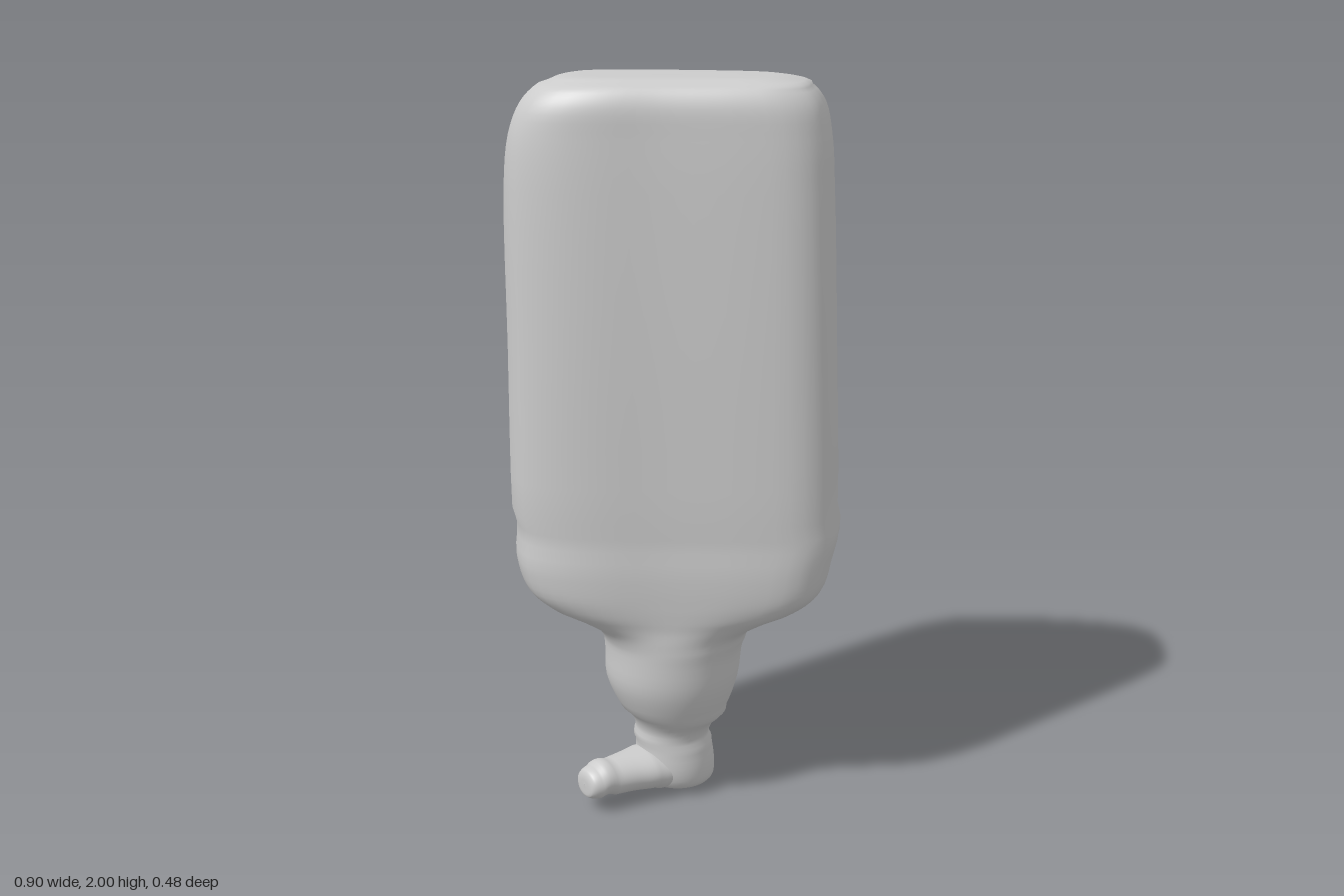
import * as THREE from 'three';

const SEGMENTS = 72;
const material = new THREE.MeshStandardMaterial({ color: 0xcccccc });

// Slightly skewed rounded slab section, as unit-extent points counterclockwise from above
const slab = new THREE.CatmullRomCurve3([
  [0.44, -0.02], [0.435, -0.1], [0.39, -0.18], [0.3, -0.222], [0.08, -0.238], [-0.15, -0.228],
  [-0.32, -0.2], [-0.4, -0.165], [-0.435, -0.08], [-0.44, 0.02], [-0.415, 0.13], [-0.36, 0.205],
  [-0.28, 0.23], [-0.18, 0.232], [0, 0.206], [0.25, 0.175], [0.36, 0.15], [0.42, 0.105], [0.44, 0.04],
].map(([x, z]) => new THREE.Vector3(x / 0.44, 0, z / 0.235)), true);
const outline = slab.getSpacedPoints(SEGMENTS).slice(0, SEGMENTS);

// Lofts rows of [y, halfWidth, halfDepth, centreX, centreZ, slabBlend]; blend 0 is an ellipse, 1 the slab
function loft(rows, steps) {
  const size = new THREE.CatmullRomCurve3(rows.map(r => new THREE.Vector3(r[1], r[0], r[2])));
  const place = new THREE.CatmullRomCurve3(rows.map(r => new THREE.Vector3(r[3], r[5], r[4])));
  const count = (rows.length - 1) * steps;
  const positions = [], index = [];
  for (let j = 0; j <= count; j++) {
    const s = size.getPoint(j / count), c = place.getPoint(j / count);
    const blend = THREE.MathUtils.clamp(c.y, 0, 1);
    for (const p of outline) {
      const a = Math.atan2(p.z, p.x);
      positions.push(
        c.x + s.x * THREE.MathUtils.lerp(Math.cos(a), p.x, blend),
        s.y,
        c.z + s.z * THREE.MathUtils.lerp(Math.sin(a), p.z, blend));
    }
  }
  for (let j = 0; j < count; j++) {
    for (let i = 0; i < SEGMENTS; i++) {
      const a = j * SEGMENTS + i, b = j * SEGMENTS + (i + 1) % SEGMENTS;
      index.push(a, b, b + SEGMENTS, a, b + SEGMENTS, a + SEGMENTS);
    }
  }
  const geometry = new THREE.BufferGeometry();
  geometry.setAttribute('position', new THREE.Float32BufferAttribute(positions, 3));
  geometry.setIndex(index);
  return geometry;
}

function addPart(group, name, geometry) {
  geometry.computeVertexNormals();
  const mesh = new THREE.Mesh(geometry, material);
  mesh.name = name;
  group.add(mesh);
}

export function createModel() {
  const group = new THREE.Group();
  group.name = 'slabOnNozzle';

  // Nozzle head, bulging neck and slab body in one flowing skin
  addPart(group, 'bodyAndNeck', loft([
    [0.005, 0.001, 0.001, 0.01, -0.01, 0],
    [0.012, 0.06, 0.06, 0.01, -0.01, 0],
    [0.035, 0.1, 0.1, 0.01, -0.005, 0],
    [0.08, 0.112, 0.11, 0.003, 0, 0],
    [0.15, 0.107, 0.108, 0, 0, 0],
    [0.2, 0.109, 0.11, 0, 0, 0],
    [0.26, 0.15, 0.148, 0, 0, 0],
    [0.35, 0.185, 0.182, -0.005, 0, 0],
    [0.45, 0.194, 0.19, 0, 0, 0],
    [0.5, 0.215, 0.195, 0, 0, 0.1],
    [0.54, 0.275, 0.205, 0, 0, 0.45],
    [0.58, 0.355, 0.22, 0, 0, 0.8],
    [0.63, 0.41, 0.23, 0, 0, 0.97],
    [0.71, 0.434, 0.235, 0, 0, 1],
    [0.85, 0.443, 0.235, 0, 0, 1],
    [1.3, 0.436, 0.235, -0.006, 0.003, 1],
    [1.72, 0.427, 0.232, -0.014, 0.003, 1],
    [1.85, 0.415, 0.231, -0.012, 0, 1],
    [1.93, 0.39, 0.228, -0.005, -0.003, 1],
    [1.975, 0.35, 0.205, 0, -0.003, 1],
    [1.995, 0.295, 0.165, 0, -0.003, 1],
    [2, 0.2, 0.1, 0, 0, 1],
    [2, 0.001, 0.001, 0, 0, 1],
  ], 4));

  // Spout reaching diagonally forward to the right; local z runs downward once laid flat
  const spout = loft([
    [0, 0.09, 0.062, 0, -0.082, 0],
    [0.1, 0.085, 0.058, 0, -0.082, 0],
    [0.16, 0.07, 0.053, 0, -0.084, 0],
    [0.22, 0.06, 0.05, 0, -0.085, 0],
    [0.27, 0.055, 0.047, 0, -0.085, 0],
    [0.298, 0.042, 0.036, 0, -0.084, 0],
    [0.304, 0.001, 0.001, 0, -0.084, 0],
  ], 5);
  spout.rotateX(Math.PI / 2).rotateY(-Math.PI / 4);
  addPart(group, 'spout', spout);

  return group;
}
